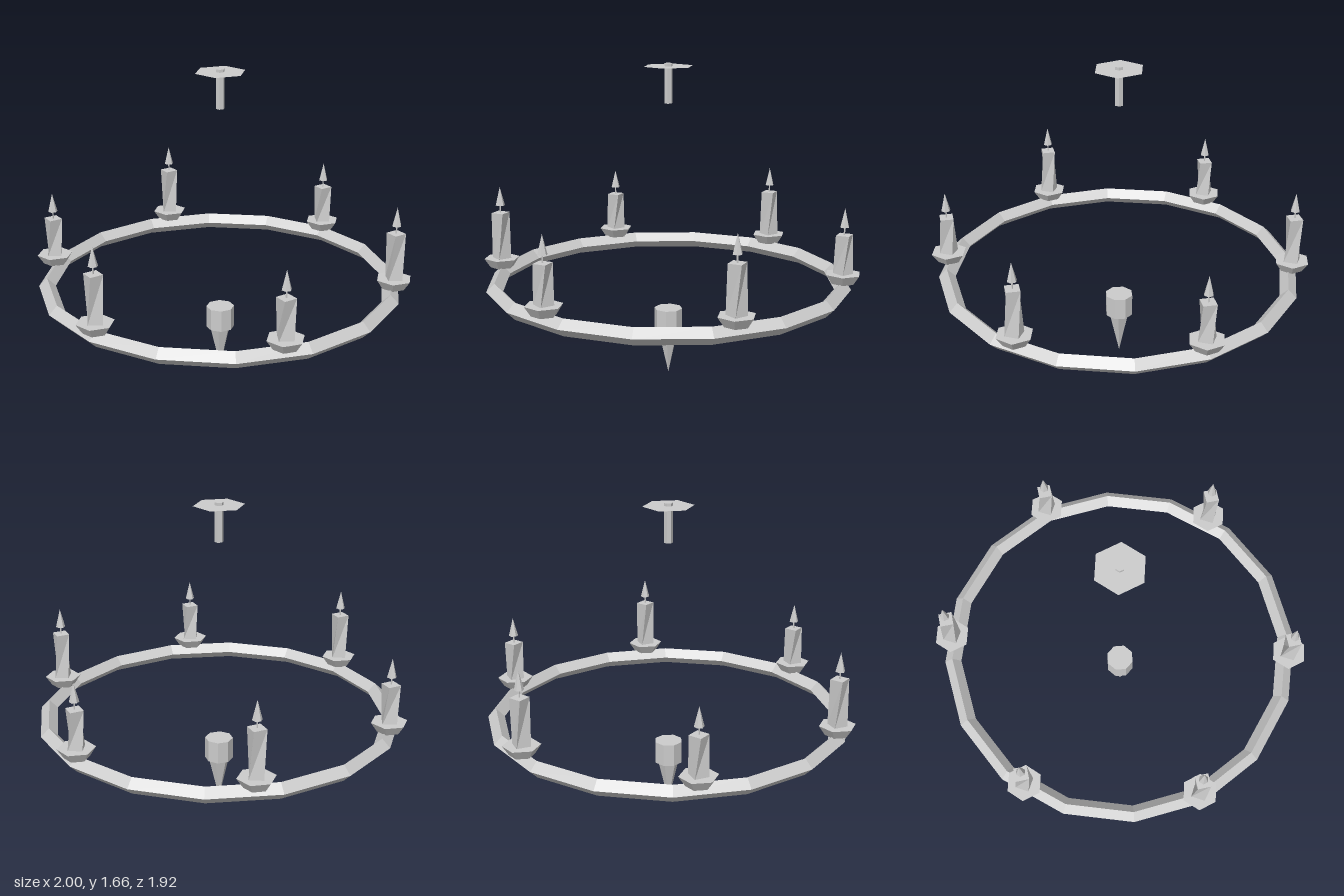
import * as THREE from 'three';

const iron = new THREE.MeshStandardMaterial({ color: 0xcccccc, flatShading: true });
iron.name = 'plain grey';
const sheet = iron.clone();
sheet.name = 'plain grey sheet';
sheet.side = THREE.DoubleSide;

// Faceted prism or cone standing on yBottom
function prism(name, rTop, rBottom, yBottom, yTop, sides) {
  const geo = new THREE.CylinderGeometry(rTop, rBottom, yTop - yBottom, sides);
  geo.translate(0, (yTop + yBottom) / 2, 0);
  const mesh = new THREE.Mesh(geo, iron);
  mesh.name = name;
  return mesh;
}

// Rotate the upper end of a prism about its axis
function twistTop(mesh, angle, yMiddle) {
  const pos = mesh.geometry.attributes.position;
  const v = new THREE.Vector3();
  const up = new THREE.Vector3(0, 1, 0);
  for (let i = 0; i < pos.count; i++) {
    v.fromBufferAttribute(pos, i);
    if (v.y > yMiddle) v.applyAxisAngle(up, angle);
    pos.setXYZ(i, v.x, v.y, v.z);
  }
  mesh.geometry.computeVertexNormals();
  return mesh;
}

// Cup, twisted candle, wick and flame
function createCandle(top) {
  const candle = new THREE.Group();
  candle.add(
    prism('cup', 0.096, 0.063, 0.545, 0.595, 6),
    twistTop(prism('wax', 0.049, 0.052, 0.59, top, 4), Math.PI / 6, 0.7),
    prism('wick', 0.004, 0.004, top, top + 0.045, 5),
    prism('flame', 0, 0.025, top + 0.04, top + 0.14, 6)
  );
  return candle;
}

export function createModel() {
  const model = new THREE.Group();
  model.name = 'chandelier';

  // Ring with a diamond section
  const ring = new THREE.Mesh(new THREE.TorusGeometry(0.915, 0.044, 4, 16), iron);
  ring.name = 'ring';
  ring.rotation.x = -Math.PI / 2;
  ring.position.y = 0.508;
  model.add(ring);

  // Six candles, alternately short and tall
  for (let i = 0; i < 6; i++) {
    const a = (i * Math.PI) / 3;
    const candle = createCandle(i % 2 ? 0.845 : 0.8);
    candle.name = 'candle' + (i + 1);
    candle.position.set(0.915 * Math.cos(a), 0, 0.915 * Math.sin(a));
    model.add(candle);
  }

  // Hanging finial below the ring
  model.add(
    prism('finialCollar', 0.075, 0.075, 0.24, 0.36, 8),
    prism('finialSpike', 0.056, 0, 0, 0.24, 6)
  );

  // Ceiling rod and flat hexagonal plate
  model.add(prism('ceilingRod', 0.022, 0.022, 1.455, 1.66, 6));
  const plate = new THREE.Mesh(new THREE.CircleGeometry(0.133, 6, Math.PI / 2), sheet);
  plate.name = 'ceilingPlate';
  plate.rotation.x = -Math.PI / 2;
  plate.position.y = 1.645;
  model.add(plate);

  return model;
}
